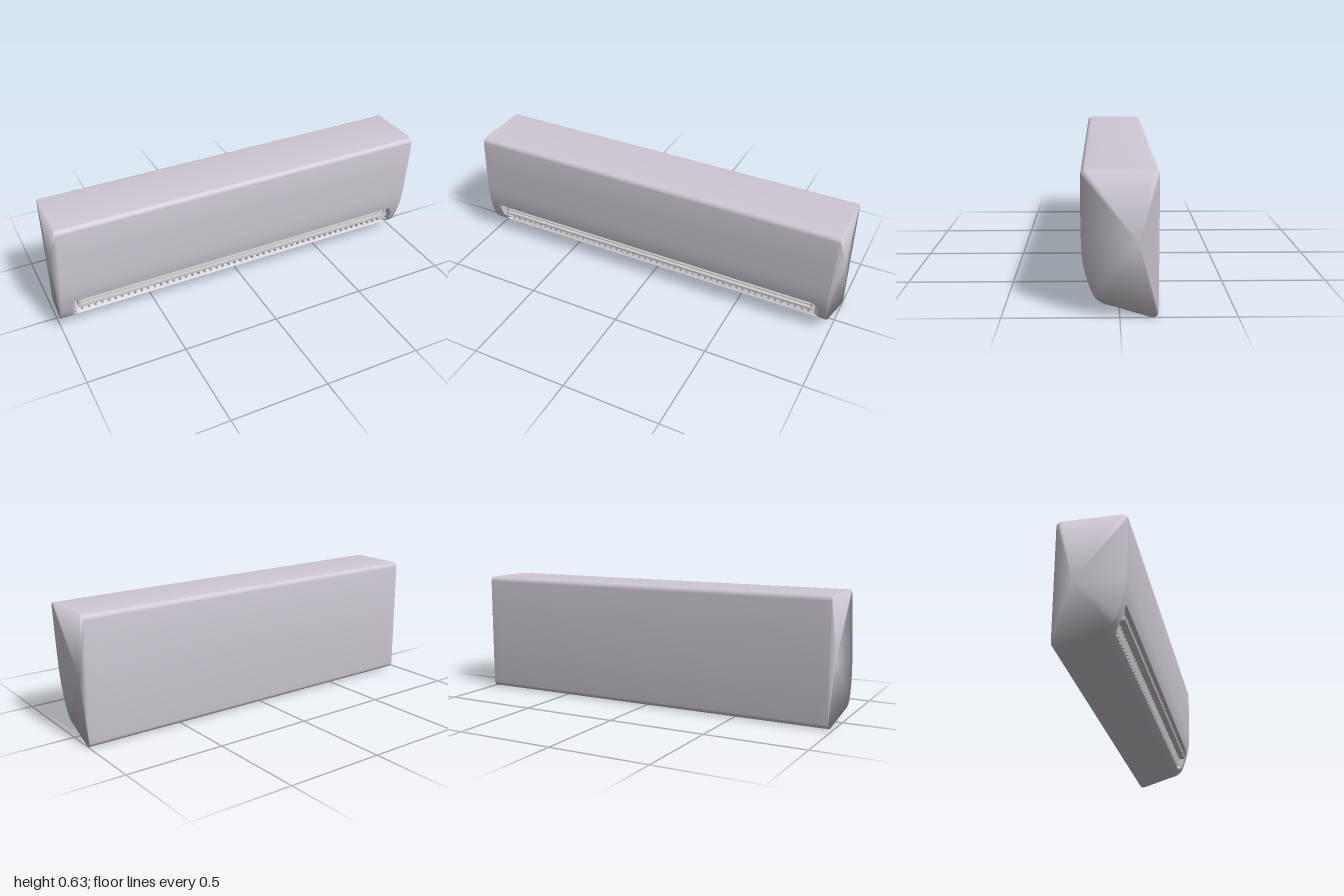
import * as THREE from 'three';
import { toCreasedNormals } from 'three/addons/utils/BufferGeometryUtils.js';

const shell = new THREE.MeshStandardMaterial({ color: 0xcfc8d3, side: THREE.DoubleSide });
const grey = new THREE.MeshStandardMaterial({ color: 0xcccccc });

// Rounded corner points [z, y], running from angle a to a - 90 or + 90 degrees
function corner(z, y, r, a0, a1, n = 5) {
  return Array.from({ length: n + 1 }, (_, i) => {
    const a = THREE.MathUtils.degToRad(a0 + (a1 - a0) * i / n);
    return [z + r * Math.cos(a), y + r * Math.sin(a)];
  });
}

// Side profile, from the top back over the front and bottom to the back;
// the outlet points lie either on the curved front or inside the recess
function profile(recessed) {
  const outlet = recessed
    ? [[0.147, 0.198], [0.05, 0.196], [0.05, 0.15], [0.088, 0.082]]
    : [[0.147, 0.196], [0.138, 0.16], [0.124, 0.12], [0.111, 0.09]];
  return [
    ...corner(-0.138, 0.605, 0.025, 180, 90),
    ...corner(0.138, 0.605, 0.025, 90, 0),
    [0.163, 0.45], [0.1615, 0.32], [0.158, 0.26], [0.151, 0.214],
    ...outlet,
    [0.097, 0.073], [0.08, 0.06], [0.06, 0.053], [0.045, 0.05],
    ...corner(-0.138, 0.025, 0.025, -75, -180),
  ];
}

// The end faces lean towards -x at the lower front
function endX(x, [z, y]) {
  const u = THREE.MathUtils.clamp((z + 0.163) / 0.26, 0, 1);
  const v = THREE.MathUtils.clamp((0.63 - y) / 0.5, 0, 1);
  return x - 0.022 * u * v;
}

function geometry(positions, index) {
  const g = new THREE.BufferGeometry();
  g.setAttribute('position', new THREE.Float32BufferAttribute(positions, 3));
  g.setIndex(index);
  return g;
}

// Shell skinned through cross-sections along x
function shellGeometry() {
  const sections = [[-0.978, false], [-0.94, false], [-0.91, true],
    [0.91, true], [0.94, false], [1, false]];
  const pos = [], index = [];
  const n = profile(false).length;
  sections.forEach(([x, recessed], i) => {
    const isEnd = i === 0 || i === sections.length - 1;
    for (const p of profile(recessed)) pos.push(isEnd ? endX(x, p) : x, p[1], p[0]);
    if (i === 0) return;
    for (let j = 0; j < n; j++) {
      const k = (j + 1) % n, a = (i - 1) * n, b = i * n;
      index.push(a + j, a + k, b + k, a + j, b + k, b + j);
    }
  });
  return toCreasedNormals(geometry(pos, index), 0.6);
}

// End face fanned from an inner point, with edge normals shared with the shell
function endGeometry(x, side) {
  const ring = profile(false), n = ring.length;
  const hub = [-0.08, 0.32];
  const pos = [endX(x, hub), hub[1], hub[0]], normals = [side, 0, 0], index = [];
  ring.forEach((p, j) => {
    const prev = ring[(j + n - 1) % n], next = ring[(j + 1) % n];
    const normal = new THREE.Vector3(0, next[0] - prev[0], prev[1] - next[1]).normalize();
    normal.x = side * 0.25;
    normal.normalize();
    pos.push(endX(x, p), p[1], p[0]);
    normals.push(normal.x, normal.y, normal.z);
    const a = j + 1, b = (j + 1) % n + 1;
    if (side > 0) index.push(0, a, b);
    else index.push(0, b, a);
  });
  const g = geometry(pos, index);
  g.setAttribute('normal', new THREE.Float32BufferAttribute(normals, 3));
  return g;
}

export function createModel() {
  const model = new THREE.Group();
  model.name = 'wallAirConditioner';

  function add(parent, name, geo, material, x = 0, y = 0, z = 0) {
    const mesh = new THREE.Mesh(geo, material);
    mesh.name = name;
    mesh.position.set(x, y, z);
    parent.add(mesh);
    return mesh;
  }

  add(model, 'housing', shellGeometry(), shell);
  add(model, 'leftEnd', endGeometry(1, 1), shell);
  add(model, 'rightEnd', endGeometry(-0.978, -1), shell);

  // Air outlet: horizontal vanes above a row of upright fins
  const outlet = new THREE.Group();
  outlet.name = 'airOutlet';
  model.add(outlet);
  add(outlet, 'lowerVane', new THREE.BoxGeometry(1.82, 0.012, 0.08), grey, 0, 0.147, 0.0975);
  for (const y of [0.166, 0.182]) {
    add(outlet, 'upperVane', new THREE.BoxGeometry(1.8, 0.006, 0.06), grey, 0, y, 0.1);
  }
  for (const side of [-1, 1]) {
    add(outlet, 'vaneBracket', new THREE.BoxGeometry(0.012, 0.055, 0.07), grey, side * 0.902, 0.169, 0.095);
  }

  // Fin outline in the z-y plane, resting on the sloping outlet floor
  const finShape = new THREE.Shape([[0.05, 0.145], [0.083, 0.088], [0.1, 0.092], [0.108, 0.145]]
    .map(([z, y]) => new THREE.Vector2(-z, y)));
  const finGeo = new THREE.ExtrudeGeometry(finShape, { depth: 0.008, bevelEnabled: false });
  finGeo.rotateY(Math.PI / 2).translate(-0.004, 0, 0);
  const count = 51;
  for (let i = 0; i < count; i++) {
    add(outlet, 'fin', finGeo, grey, -0.885 + 1.77 * i / (count - 1));
  }
  return model;
}
